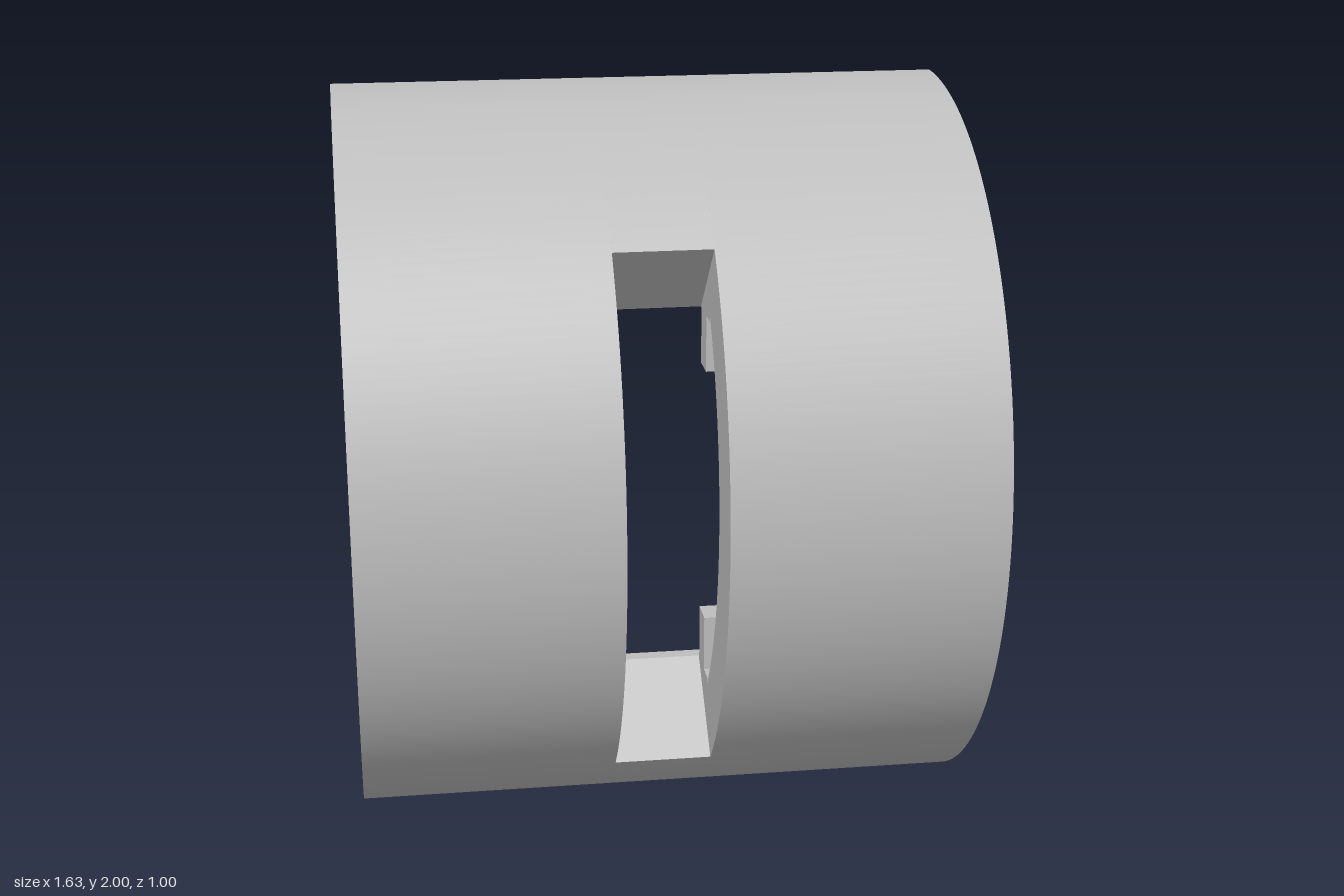
import * as THREE from 'three';
import { toCreasedNormals } from 'three/addons/utils/BufferGeometryUtils.js';

const OUTER = 1, INNER = 0.83;            // shell radii
const HALF = 0.817;                       // half width of the shell
const SLOT = [-0.15, 0.105];              // slot extent in x
const SLOT_ANGLE = THREE.MathUtils.degToRad(44);
const RAIL = 0.515;                       // half width of the rails

const metal = new THREE.MeshStandardMaterial({ color: 0xbdbdbd });
metal.name = 'light grey';

// Points along an arc, as [depth, height] from the cylinder axis
function arc(radius, from, to, steps) {
  return Array.from({ length: steps + 1 }, (_, i) => {
    const a = from + (to - from) * i / steps;
    return [radius * Math.cos(a), radius * Math.sin(a)];
  });
}

// Extrude a [depth, height] profile from x0 to x1; side -1 mirrors it downwards
function part(name, points, x0, x1, side = 1) {
  const shape = new THREE.Shape(points.map(([d, h]) => new THREE.Vector2(-d, h * side)));
  const geometry = new THREE.ExtrudeGeometry(shape, { depth: x1 - x0, bevelEnabled: false });
  geometry.rotateY(Math.PI / 2);
  geometry.translate(x0, 1, -0.5);
  const mesh = new THREE.Mesh(toCreasedNormals(geometry, 0.4), metal);
  mesh.name = name;
  return mesh;
}

function shellProfile(from, to, steps) {
  return [...arc(OUTER, from, to, steps), ...arc(INNER, to, from, steps)];
}

export function createModel() {
  const model = new THREE.Group();
  model.name = 'slottedHalfShell';
  const quarter = Math.PI / 2;

  // Full half rings on both sides of the slot
  const ring = shellProfile(-quarter, quarter, 96);
  model.add(part('shellRight', ring, -HALF, SLOT[0]));
  model.add(part('shellLeft', ring, SLOT[1], HALF));

  // Rail with a hanging tab; its back runs into the shell
  const seat = INNER + 0.01;
  const backAngle = Math.acos(0.47 / seat);
  const lipAngle = Math.acos(0.655 / seat);
  const rail = [
    [0.47, 0.492], [0.518, 0.492], [0.518, 0.343], [0.6, 0.343], [0.6, 0.492], [0.655, 0.492],
    ...arc(seat, lipAngle, backAngle, 8),
  ];

  // Rail remnant behind the slot, cut along the slanted slot end
  const bridge = [
    [0.47, 0.492], [0.492 / Math.tan(SLOT_ANGLE), 0.492],
    ...arc(seat, SLOT_ANGLE, backAngle, 6),
  ];

  for (const [label, side] of [['upper', 1], ['lower', -1]]) {
    model.add(part(label + 'ShellMiddle', shellProfile(SLOT_ANGLE, quarter, 26), SLOT[0], SLOT[1], side));
    model.add(part(label + 'RailRight', rail, -RAIL, SLOT[0], side));
    model.add(part(label + 'RailLeft', rail, SLOT[1], RAIL, side));
    model.add(part(label + 'RailBridge', bridge, SLOT[0], SLOT[1], side));
  }
  return model;
}
